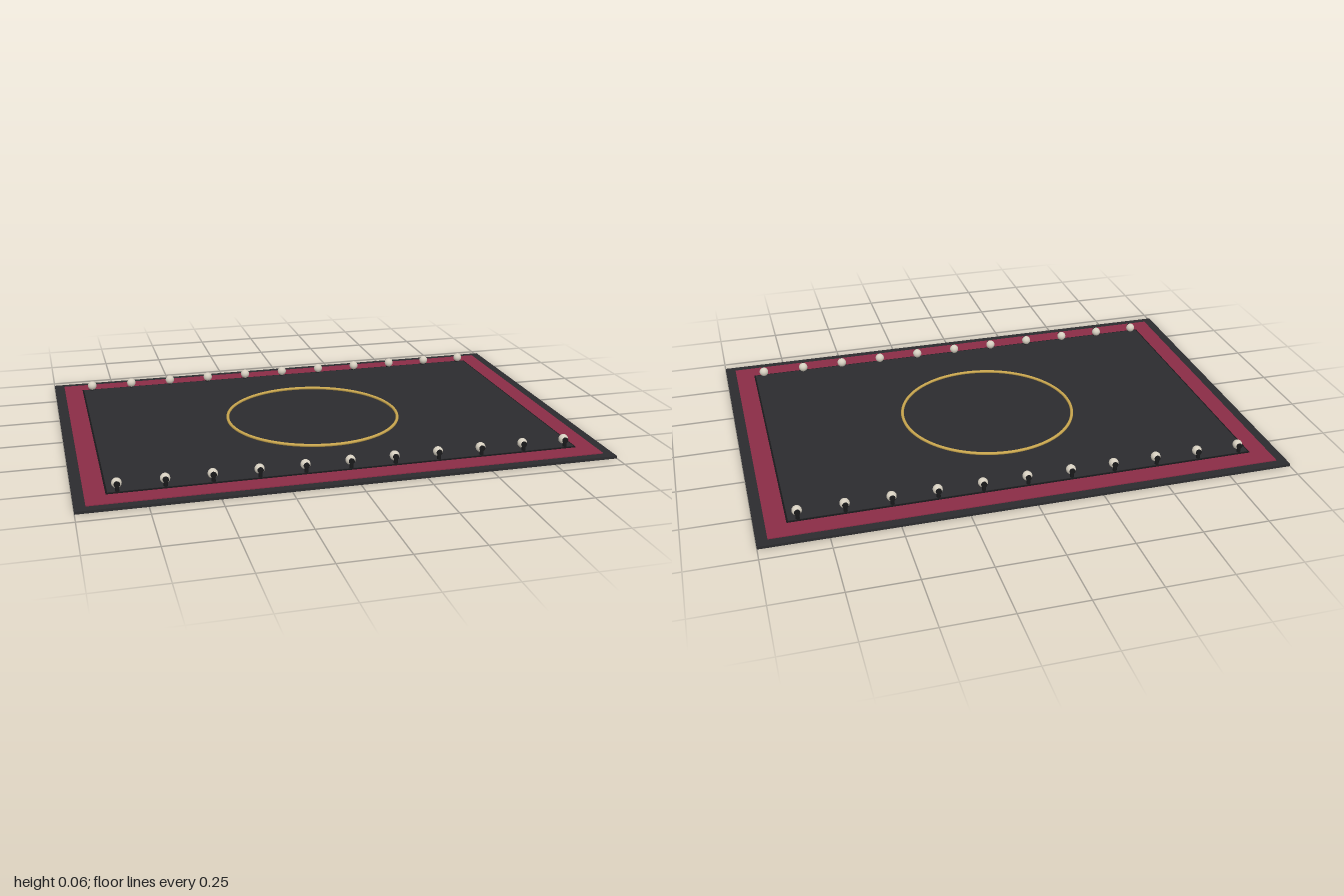
import * as THREE from 'three';

const mat = (color) => new THREE.MeshStandardMaterial({ color });

export function createModel() {
  const model = new THREE.Group();
  const dark = mat(0x2b2b2e), black = mat(0x18181a), red = mat(0x8a2c46);
  const gold = mat(0xc9a64e), pearl = mat(0xd6cfc0);

  const add = (parent, name, geometry, material, x = 0, y = 0, z = 0) => {
    const mesh = new THREE.Mesh(geometry, material);
    mesh.name = name;
    mesh.position.set(x, y, z);
    parent.add(mesh);
    return mesh;
  };
  const slab = (name, w, d, bottom, top, material) =>
    add(model, name, new THREE.BoxGeometry(w, top - bottom, d), material, 0, (top + bottom) / 2, 0);

  // Stacked floor layers, each smaller and higher than the last
  slab('baseFloor', 2, 1.38, 0, 0.01, dark);
  slab('redBorder', 1.92, 1.31, 0.003, 0.0135, red);
  slab('stageTrim', 1.772, 1.156, 0.005, 0.0165, black);
  slab('stageFloor', 1.76, 1.144, 0.006, 0.018, dark);

  // Gold ring lying on the stage
  const ring = add(model, 'floorRing', new THREE.TorusGeometry(0.345, 0.006, 10, 96), gold, 0, 0.024, 0);
  ring.rotation.x = Math.PI / 2;

  // Two rows of footlights: post, dark rear housing and round bulb facing inward
  const post = new THREE.CylinderGeometry(0.007, 0.008, 0.022, 10);
  const housing = new THREE.CylinderGeometry(0.011, 0.011, 0.014, 14).rotateX(Math.PI / 2);
  const bulb = new THREE.SphereGeometry(0.0185, 18, 12);
  for (const side of [1, -1]) {
    for (let i = -5; i <= 5; i++) {
      const light = new THREE.Group();
      light.name = 'footlight';
      light.position.set(i * 0.169, 0, side * 0.552);
      add(light, 'post', post, black, 0, 0.023, side * 0.014);
      add(light, 'housing', housing, black, 0, 0.043, side * 0.0135);
      add(light, 'bulb', bulb, pearl, 0, 0.0425, 0);
      model.add(light);
    }
  }
  return model;
}
